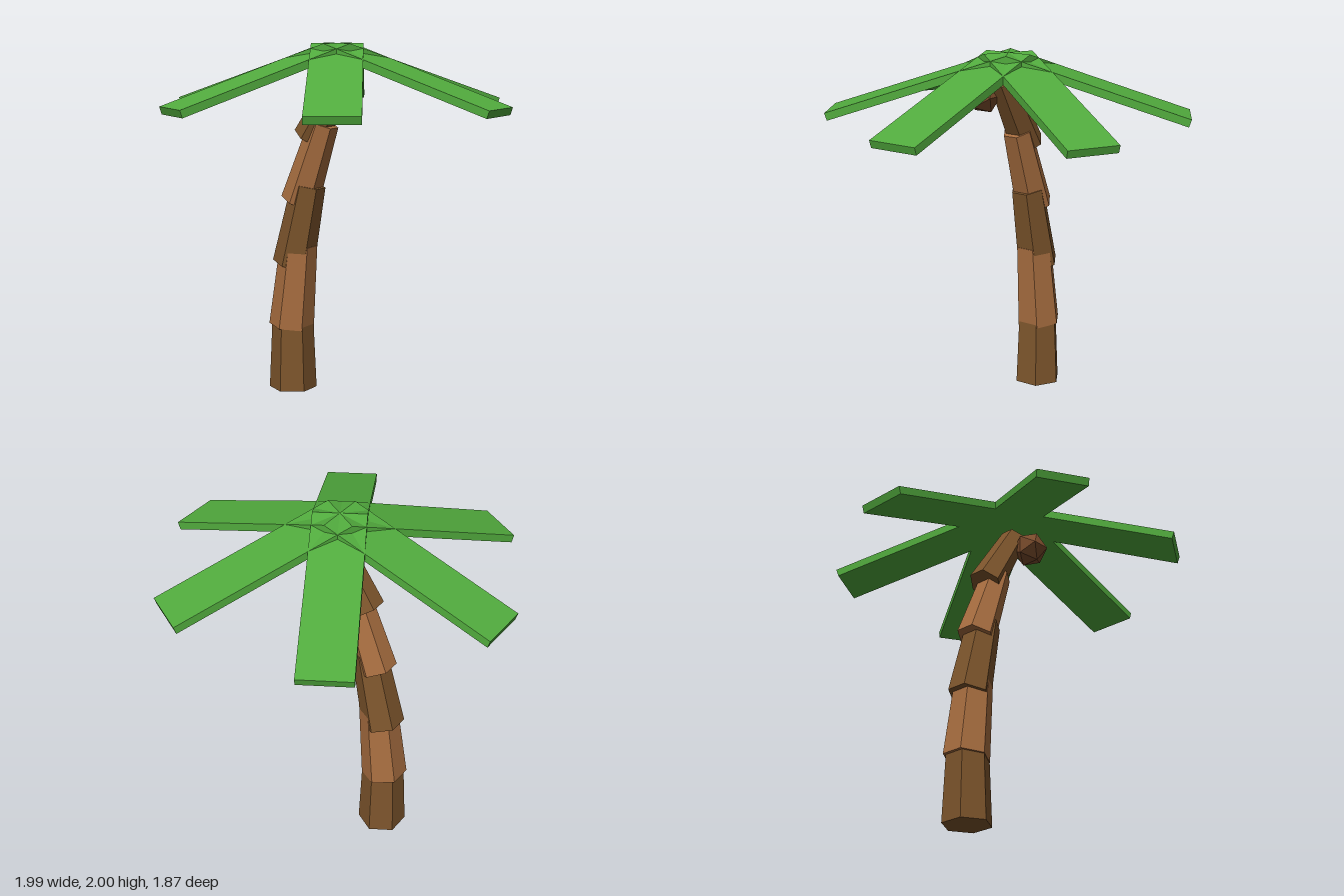
import * as THREE from 'three';

const mat = (name, color) => {
  const m = new THREE.MeshStandardMaterial({ color, flatShading: true });
  m.name = name;
  return m;
};

export function createModel() {
  const palm = new THREE.Group();
  palm.name = 'palmTree';
  const darkBark = mat('darkBark', 0x7d552c);
  const lightBark = mat('lightBark', 0xa86e40);
  const leafGreen = mat('leafGreen', 0x52ac3e);
  const nutBrown = mat('nutBrown', 0x7a4c2c);

  // Trunk: overlapping tapered hexagonal sections, leaning further with height
  // [bottom x, bottom y, top x, top y, bottom radius, top radius]
  const sections = [
    [-0.302, 0, -0.302, 0.43, 0.137, 0.118],
    [-0.311, 0.367, -0.259, 0.85, 0.130, 0.107],
    [-0.295, 0.733, -0.190, 1.20, 0.121, 0.097],
    [-0.250, 1.098, -0.087, 1.552, 0.110, 0.084],
    [-0.178, 1.468, 0.060, 1.86, 0.098, 0.075],
  ];
  const trunk = new THREE.Group();
  trunk.name = 'trunk';
  sections.forEach(([x0, y0, x1, y1, r0, r1], i) => {
    const length = Math.hypot(x1 - x0, y1 - y0);
    const section = new THREE.Mesh(
      new THREE.CylinderGeometry(r1, r0, length, 6), i % 2 ? lightBark : darkBark);
    section.name = 'trunkSection' + (i + 1);
    section.position.set((x0 + x1) / 2, (y0 + y1) / 2, 0);
    section.rotation.z = -Math.atan2(x1 - x0, y1 - y0);
    trunk.add(section);
  });
  palm.add(trunk);

  // Leaves: six drooping planks whose top inner edges meet at the crown
  const reach = 0.995, drop = 0.325, thickness = 0.044;
  const length = Math.hypot(reach, drop);
  const leafGeometry = new THREE.BoxGeometry(length, thickness, 0.29);
  leafGeometry.translate(length / 2, -thickness / 2, 0);
  leafGeometry.rotateZ(-Math.atan2(drop, reach));
  const crown = new THREE.Group();
  crown.name = 'crown';
  crown.position.y = 2;
  for (let i = 0; i < 6; i++) {
    const leaf = new THREE.Mesh(leafGeometry, leafGreen);
    leaf.name = 'leaf' + (i + 1);
    leaf.rotation.y = i * Math.PI / 3;
    crown.add(leaf);
  }
  palm.add(crown);

  // Coconut hanging beside the top of the trunk
  const coconut = new THREE.Mesh(new THREE.IcosahedronGeometry(0.102, 0), nutBrown);
  coconut.name = 'coconut';
  coconut.position.set(0.09, 1.765, 0.105);
  coconut.rotation.y = Math.PI / 2;
  palm.add(coconut);

  return palm;
}
